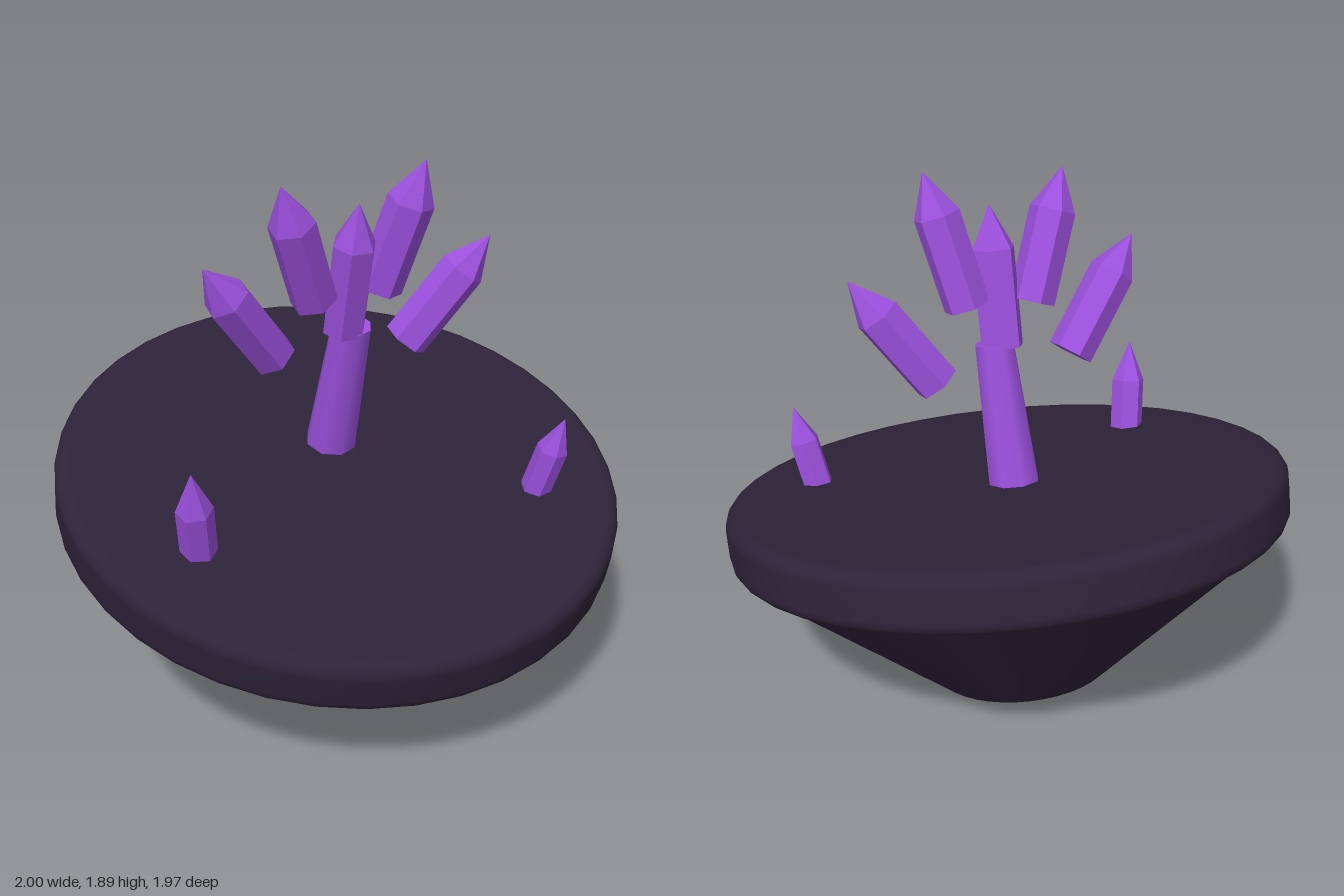
import * as THREE from 'three';

const stone = new THREE.MeshStandardMaterial({ color: 0x2d2339 });
stone.name = 'dark stone';
const purple = new THREE.MeshStandardMaterial({ color: 0x9b50dc, flatShading: true });
purple.name = 'crystal purple';
const stalkPurple = new THREE.MeshStandardMaterial({ color: 0x9b50dc });
stalkPurple.name = 'smooth purple';

const UP = new THREE.Vector3(0, 1, 0);

function add(parent, name, geometry, material) {
  const mesh = new THREE.Mesh(geometry, material);
  mesh.name = name;
  parent.add(mesh);
  return mesh;
}

// Place an object's local y axis along the line from base to tip
function align(object, base, tip) {
  object.position.copy(base);
  object.quaternion.setFromUnitVectors(UP, tip.clone().sub(base).normalize());
}

// Six-sided prism with a pointed cap
function crystal(name, [bx, by], [tx, ty], z, radius, tipLength, turn) {
  const base = new THREE.Vector3(bx, by, z);
  const tip = new THREE.Vector3(tx, ty, z);
  const shaft = base.distanceTo(tip) - tipLength;
  const group = new THREE.Group();
  group.name = name;
  const body = new THREE.CylinderGeometry(radius, radius, shaft, 6).rotateY(turn).translate(0, shaft / 2, 0);
  const point = new THREE.ConeGeometry(radius, tipLength, 6, 1, true).rotateY(turn).translate(0, shaft + tipLength / 2, 0);
  add(group, 'crystalShaft', body, purple);
  add(group, 'crystalPoint', point, purple);
  align(group, base, tip);
  return group;
}

export function createModel() {
  const model = new THREE.Group();
  model.name = 'crystalIsland';

  // Everything sits on a disc that tips down towards the front
  const tilted = new THREE.Group();
  tilted.name = 'tiltedIsland';
  tilted.position.y = 0.705;
  tilted.rotation.x = 0.25;
  model.add(tilted);

  // Disc with a rounded rim
  const profile = [new THREE.Vector2(0, -0.1), new THREE.Vector2(0.93, -0.1)];
  for (const [side, from] of [[-1, -Math.PI / 2], [1, 0]]) {
    for (let i = 0; i <= 5; i++) {
      const a = from + (i / 5) * Math.PI / 2;
      profile.push(new THREE.Vector2(0.95 + 0.05 * Math.cos(a), side * 0.05 + 0.05 * Math.sin(a)));
    }
  }
  profile.push(new THREE.Vector2(0.93, 0.1), new THREE.Vector2(0, 0.1));
  add(tilted, 'disc', new THREE.LatheGeometry(profile, 40), stone);

  // Tapered underside
  const under = add(tilted, 'underside', new THREE.CylinderGeometry(0.95, 0.32, 0.545, 40), stone);
  under.position.y = -0.3725;

  // Leaning stalk
  const stalkBase = new THREE.Vector3(0.004, 0.07, -0.1);
  const stalkTop = new THREE.Vector3(0.028, 0.6, -0.1);
  const length = stalkBase.distanceTo(stalkTop);
  const stalk = add(tilted, 'stalk', new THREE.CylinderGeometry(0.07, 0.093, length, 8).translate(0, length / 2, 0), stalkPurple);
  align(stalk, stalkBase, stalkTop);

  // Fan of floating crystals, then two small ones growing from the disc
  const R = 0.08;
  tilted.add(
    crystal('outerRightCrystal', [-0.25, 0.521], [-0.519, 0.902], -0.1, R, 0.15, 0),
    crystal('innerRightCrystal', [-0.123, 0.721], [-0.278, 1.162], -0.1, R, 0.15, 0),
    crystal('middleCrystal', [0, 0.582], [0, 1.068], -0.1, 0.076, 0.15, Math.PI / 6),
    crystal('innerLeftCrystal', [0.112, 0.737], [0.219, 1.2], -0.1, R, 0.15, 0),
    crystal('outerLeftCrystal', [0.246, 0.496], [0.513, 0.881], -0.1, R, 0.15, 0),
    crystal('smallRightCrystal', [-0.63, 0.07], [-0.674, 0.43], 0.3, 0.062, 0.15, 0.3),
    crystal('smallLeftCrystal', [0.6, 0.07], [0.658, 0.393], 0.35, 0.055, 0.13, -0.3),
  );

  return model;
}
